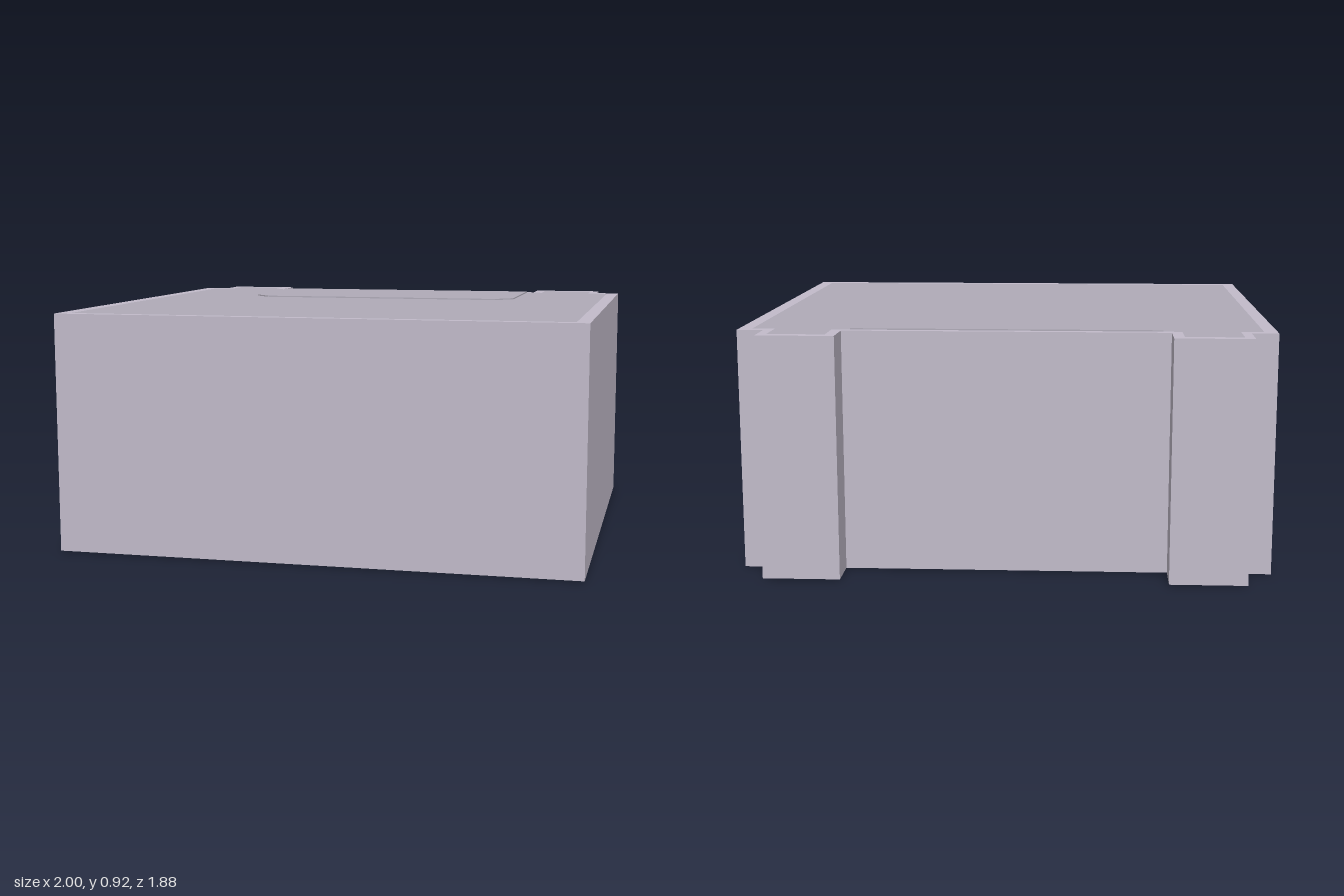
import * as THREE from 'three';

const mat = (color) => new THREE.MeshStandardMaterial({ color, flatShading: true });

// Half of a plan outline as [x, z] points, mirrored across x = 0
const mirrored = (half) => [...half, ...half.map(([x, z]) => [-x, z]).reverse()];

// Plan outline extruded upward from y0 to y1, optionally hollow
function slab(name, plan, y0, y1, material, hole) {
  const toPoints = (p) => p.map(([x, z]) => new THREE.Vector2(x, -z));
  const shape = new THREE.Shape(toPoints(plan));
  if (hole) shape.holes.push(new THREE.Path(toPoints(hole)));
  const geo = new THREE.ExtrudeGeometry(shape, { depth: y1 - y0, bevelEnabled: false });
  geo.rotateX(-Math.PI / 2).translate(0, y0, 0);
  const mesh = new THREE.Mesh(geo, material);
  mesh.name = name;
  return mesh;
}

function box(name, [x0, x1], [y0, y1], [z0, z1], material) {
  const mesh = new THREE.Mesh(new THREE.BoxGeometry(x1 - x0, y1 - y0, z1 - z0), material);
  mesh.position.set((x0 + x1) / 2, (y0 + y1) / 2, (z0 + z1) / 2);
  mesh.name = name;
  return mesh;
}

export function createModel() {
  const room = new THREE.Group();
  room.name = 'room';
  const wallMat = mat(0xc2bbca);
  const ceilingMat = mat(0xb0abb8);
  const floorMat = mat(0x1b1d2a);
  const platformMat = mat(0x2a242c);
  const trimMat = mat(0x3c3844);
  const columnMat = mat(0x4a4650);

  const bottom = 0.003, top = 0.917;
  const outer = mirrored([[1, 0.94], [1, -0.8], [0.9, -0.8], [0.9, -0.945], [0.61, -0.945], [0.61, -0.8]]);
  const inner = mirrored([[0.95, 0.9], [0.95, -0.76], [0.865, -0.76], [0.865, -0.905], [0.65, -0.905], [0.65, -0.77]]);

  // Shell: walls with two rear alcoves, closed by floor and ceiling
  room.add(slab('walls', outer, bottom, top, wallMat, inner));
  room.add(slab('floor', inner, bottom, 0.03, floorMat));
  room.add(slab('ceiling', inner, 0.88, top, ceilingMat));

  // Rear platform and the matching panel above, front corners cut
  const stage = mirrored([[0.51, -0.2], [0.58, -0.275], [0.58, -0.77]]);
  room.add(slab('platform', stage, 0, 0.06, platformMat));
  room.add(slab('ceilingPanel', stage, 0.85, 0.922, ceilingMat));

  // Low bench in the middle of the floor
  room.add(box('bench', [-0.14, 0.14], [0, 0.1], [0.12, 0.24], platformMat));

  // Round column in each alcove
  for (const side of [-1, 1]) {
    const column = new THREE.Mesh(new THREE.CylinderGeometry(0.08, 0.08, 0.85, 24), columnMat);
    column.position.set(side * 0.757, 0.426, -0.83);
    column.name = side > 0 ? 'leftColumn' : 'rightColumn';
    room.add(column);
  }

  // Doorway in the right wall: jambs, lintel and leaf
  const door = new THREE.Group();
  door.name = 'door';
  const depth = [-1.003, -0.94];
  door.add(box('rearJamb', depth, [0, 0.56], [0.25, 0.28], trimMat));
  door.add(box('frontJamb', depth, [0, 0.56], [0.65, 0.68], trimMat));
  door.add(box('lintel', depth, [0.53, 0.56], [0.28, 0.65], trimMat));
  door.add(box('doorLeaf', [-0.96, -0.93], [0, 0.53], [0.28, 0.65], trimMat));
  room.add(door);

  return room;
}
